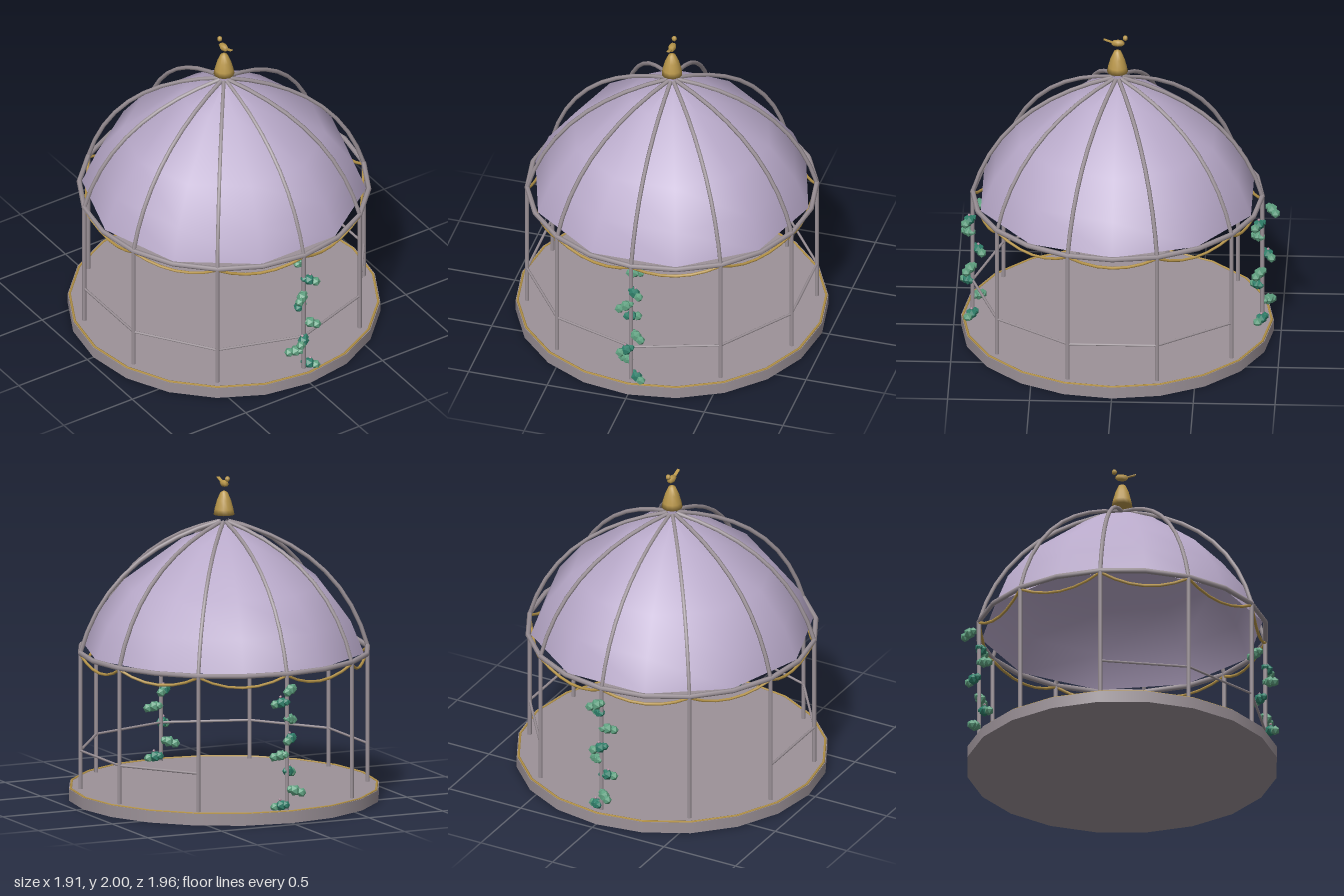
import * as THREE from 'three';

const mat = (name, color, side = THREE.FrontSide) => {
  const m = new THREE.MeshStandardMaterial({ color, side });
  m.name = name;
  return m;
};

export function createModel() {
  const root = new THREE.Group();
  root.name = 'gazebo';
  const iron = mat('mauveGrey', 0x9c9298);
  const lavender = mat('lavender', 0xb8a9c9, THREE.DoubleSide);
  const gold = mat('gold', 0xb8964a);
  const lightLeaf = mat('lightGreen', 0x5fa080);
  const darkLeaf = mat('darkGreen', 0x2f7f6a);
  const petal = mat('dustyPink', 0xb08fa0);

  const add = (name, geo, material, parent = root) => {
    const m = new THREE.Mesh(geo, material);
    m.name = name;
    parent.add(m);
    return m;
  };
  const group = (name) => {
    const g = new THREE.Group();
    g.name = name;
    root.add(g);
    return g;
  };
  const N = 10, R = 0.885, EAVE = 0.915;
  // point on a circle, with post 0 at the front
  const polar = (i, r, y) => {
    const a = (i / N) * Math.PI * 2;
    return new THREE.Vector3(Math.sin(a) * r, y, Math.cos(a) * r);
  };
  const ring = (name, r, tube, y, sides, material) => {
    const geo = new THREE.TorusGeometry(r, tube, sides, 20).rotateX(Math.PI / 2);
    add(name, geo, material).position.y = y;
  };
  const bend = (a, b, c, steps, r) =>
    new THREE.TubeGeometry(new THREE.QuadraticBezierCurve3(a, b, c), steps, r, 6);

  // floor slab and its trim
  add('floor', new THREE.CylinderGeometry(0.955, 0.955, 0.072, 20), iron).position.y = 0.036;
  ring('floorTrim', 0.943, 0.008, 0.072, 5, gold);
  ring('eaveRing', R, 0.016, EAVE, 6, iron);

  // posts, roof ribs, garlands and rails
  const posts = group('posts'), ribs = group('ribs');
  const swags = group('garlands'), rails = group('rails');
  for (let i = 0; i < N; i++) {
    const post = add('post', new THREE.CylinderGeometry(0.013, 0.013, 0.85, 8), iron, posts);
    post.position.copy(polar(i, R, 0.495));
    add('rib', bend(polar(i, R, EAVE), polar(i, 0.72, 1.525), polar(i, 0.03, 1.712), 9, 0.013), iron, ribs);

    const a = polar(i, R, 0.905), b = polar(i + 1, R, 0.905);
    const low = a.clone().lerp(b, 0.5).setY(0.765);
    add('garland', bend(a, low, b, 6, 0.009), gold, swags);

    // three bays at the back stay open as the entrance
    if (i < 4 || i > 6) {
      const line = new THREE.LineCurve3(polar(i, R, 0.31), polar(i + 1, R, 0.31));
      add('rail', new THREE.TubeGeometry(line, 1, 0.008, 6), iron, rails);
    }
  }

  // ten-sided canopy
  const profile = [[0.868, 0.92], [0.785, 1.12], [0.62, 1.33], [0.26, 1.6], [0, 1.7]]
    .map(([x, y]) => new THREE.Vector2(x, y));
  add('canopy', new THREE.LatheGeometry(profile, N, Math.PI / 2), lavender);

  // bell finial
  const bell = [[0, 1.755], [0.064, 1.755], [0.058, 1.79], [0.043, 1.845], [0.022, 1.893], [0, 1.905]]
    .map(([x, y]) => new THREE.Vector2(x, y));
  add('finial', new THREE.LatheGeometry(bell, 12), gold);

  // small bird on top, looking to the back
  const bird = group('bird');
  const body = add('birdBody', new THREE.SphereGeometry(1, 6, 4), gold, bird);
  body.scale.set(0.025, 0.022, 0.045);
  body.position.set(0, 1.948, -0.003);
  add('birdHead', new THREE.SphereGeometry(0.017, 6, 5), gold, bird).position.set(0, 1.983, -0.048);
  const tail = add('birdTail', new THREE.BoxGeometry(0.02, 0.005, 0.055), gold, bird);
  tail.position.set(0, 1.964, 0.058);
  tail.rotation.x = -0.35;

  // leaf clusters climbing the front and back posts: x, y, z offset from the post
  const clusters = [
    [0.045, 0.1, 0.005], [-0.045, 0.195, -0.035], [-0.03, 0.305, 0.03], [0.045, 0.41, 0.015],
    [0, 0.52, -0.035], [-0.035, 0.63, 0.025], [0.035, 0.735, 0.02], [0.01, 0.83, -0.06],
  ];
  for (const side of [1, -1]) {
    const vine = group(side > 0 ? 'frontVine' : 'backVine');
    clusters.forEach(([x, y, z], i) => {
      const zc = side * R + z;
      const dark = i % 2 === 0;
      const lean = x < 0 ? -1 : 1;
      add('leafCluster', new THREE.IcosahedronGeometry(0.036, 0), dark ? darkLeaf : lightLeaf, vine)
        .position.set(x - lean * 0.008, y, zc);
      add('leafCluster', new THREE.IcosahedronGeometry(0.03, 0), lightLeaf, vine)
        .position.set(x + lean * 0.025, y - 0.012, zc + (z < 0 ? -0.022 : 0.022));
      add('leafCluster', new THREE.IcosahedronGeometry(0.026, 0), dark ? darkLeaf : lightLeaf, vine)
        .position.set(x - lean * 0.03, y + 0.005, zc + (z < 0 ? 0.02 : -0.02));
      if (dark) {
        add('blossom', new THREE.IcosahedronGeometry(0.009, 0), petal, vine)
          .position.set(x, y + 0.037, zc);
      }
    });
  }
  return root;
}
